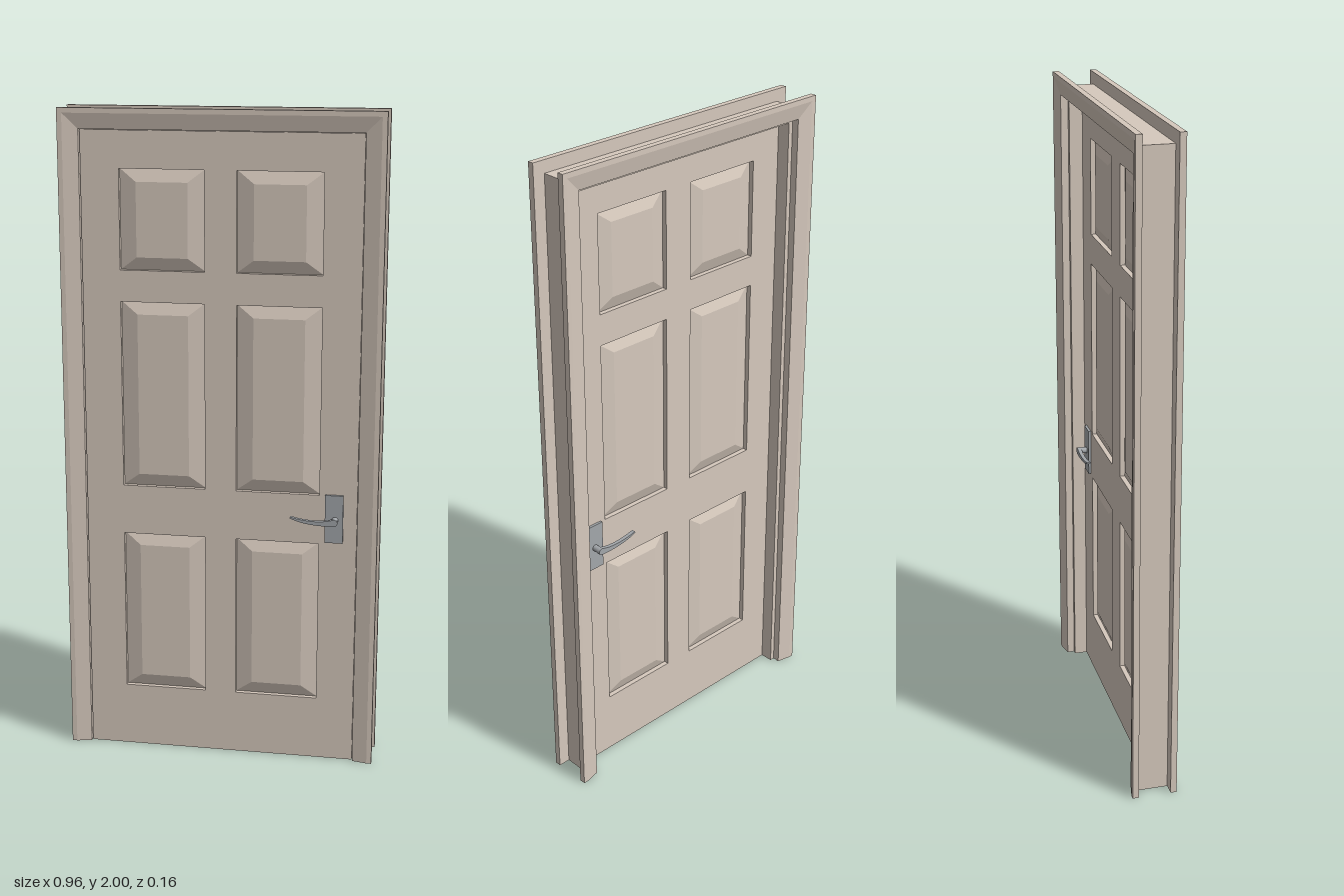
import * as THREE from 'three';

const W = 0.48, H = 2;                 // half width and height of the whole frame
const FRONT = 0.038, BACK = -0.006;    // faces of the door leaf

const paint = new THREE.MeshStandardMaterial({ color: 0xd6c9bd, flatShading: true });
const metal = new THREE.MeshStandardMaterial({ color: 0xa3a7ab });

function add(parent, name, geometry, material) {
  const mesh = new THREE.Mesh(geometry, material);
  mesh.name = name;
  parent.add(mesh);
  return mesh;
}

// Sweeps a counter-clockwise profile of [inset from outer edge, z]
// up one side, across the top with mitred corners, and down the other side.
function mitredFrame(profile) {
  const stations = [
    d => [d - W, 0], d => [d - W, H - d], d => [W - d, H - d], d => [W - d, 0],
  ];
  const n = profile.length, pos = [];
  const put = (s, j) => {
    const [d, z] = profile[j % n];
    pos.push(...stations[s](d), z);
  };
  for (let s = 0; s < 3; s++) {
    for (let j = 0; j < n; j++) {
      put(s, j); put(s + 1, j); put(s + 1, j + 1);
      put(s, j); put(s + 1, j + 1); put(s, j + 1);
    }
  }
  // feet of the two uprights
  const outline = profile.map(p => new THREE.Vector2(...p));
  for (const [a, b, c] of THREE.ShapeUtils.triangulateShape(outline, [])) {
    put(0, a); put(0, b); put(0, c);
    put(3, a); put(3, c); put(3, b);
  }
  const g = new THREE.BufferGeometry();
  g.setAttribute('position', new THREE.Float32BufferAttribute(pos, 3));
  g.computeVertexNormals();
  return g;
}

// Raised panel: a four-sided lathe whose rings are stretched to a rectangle
function raisedPanel(w, h) {
  const rim = 0.007, top = 0.020, bevelX = 0.05, bevelY = 0.038;
  const g = new THREE.LatheGeometry(
    [[0, -top], [0.5, -top], [1, -rim], [1, rim], [0.5, top], [0, top]]
      .map(p => new THREE.Vector2(...p)), 4, Math.PI / 4);
  g.rotateX(Math.PI / 2);
  const p = g.attributes.position;
  for (let i = 0; i < p.count; i++) {
    const r = Math.hypot(p.getX(i), p.getY(i));
    if (r < 0.01) continue;
    p.setX(i, Math.sign(p.getX(i)) * (w / 2 - (1 - r) * 2 * bevelX));
    p.setY(i, Math.sign(p.getY(i)) * (h / 2 - (1 - r) * 2 * bevelY));
  }
  g.computeVertexNormals();
  return g;
}

function createDoor() {
  const door = new THREE.Group();
  door.name = 'door';
  const x0 = 0.048, x1 = 0.302, edge = 0.417, top = 1.937;
  const rows = [[0.20, 0.708], [0.862, 1.433], [1.528, 1.826]];

  const leaf = new THREE.Shape([[-edge, 0], [edge, 0], [edge, top], [-edge, top]]
    .map(p => new THREE.Vector2(...p)));
  for (const [y0, y1] of rows) {
    for (const s of [-1, 1]) {
      leaf.holes.push(new THREE.Path([[x0, y0], [x0, y1], [x1, y1], [x1, y0]]
        .map(([x, y]) => new THREE.Vector2(s * x, y))));
      const panel = add(door, 'raisedPanel', raisedPanel(x1 - x0, y1 - y0), paint);
      panel.position.set(s * (x0 + x1) / 2, (y0 + y1) / 2, (FRONT + BACK) / 2);
    }
  }
  const g = new THREE.ExtrudeGeometry(leaf, { depth: FRONT - BACK, bevelEnabled: false });
  add(door, 'doorLeaf', g.translate(0, 0, BACK), paint);
  return door;
}

// Lever handle, built outward along +z from the door face
function createHandle(name) {
  const handle = new THREE.Group();
  handle.name = name;

  add(handle, 'handlePlate', new THREE.BoxGeometry(0.055, 0.15, 0.008), metal)
    .position.set(0.348, 0.79, 0.004);

  const stem = add(handle, 'handleStem',
    new THREE.CylinderGeometry(0.010, 0.010, 0.028, 20).rotateX(Math.PI / 2), metal);
  stem.position.set(0.351, 0.788, 0.018);

  // gently curved lever, thin at the tip and rounded at the stem
  const lever = new THREE.Shape();
  lever.moveTo(0.217, 0.797);
  lever.bezierCurveTo(0.25, 0.782, 0.29, 0.776, 0.351, 0.777);
  lever.absarc(0.351, 0.788, 0.011, -Math.PI / 2, Math.PI / 2, false);
  lever.bezierCurveTo(0.33, 0.792, 0.29, 0.783, 0.219, 0.801);
  const g = new THREE.ExtrudeGeometry(lever, { depth: 0.012, bevelEnabled: false, curveSegments: 12 });
  add(handle, 'lever', g.translate(0, 0, 0.027), metal);
  return handle;
}

export function createModel() {
  const model = new THREE.Group();
  model.name = 'panelDoor';

  // Jamb lining with the stop the door closes against
  add(model, 'jamb', mitredFrame([
    [0.037, -0.061], [0.06, -0.061], [0.06, -0.047], [0.075, -0.047],
    [0.075, BACK], [0.06, BACK], [0.06, FRONT], [0.037, FRONT],
  ]), paint);

  // Sloping trim on both faces of the wall
  const trim = [[0, 0], [0.061, 0], [0.061, 0.009], [0.015, 0.019], [0, 0.019]];
  add(model, 'frontTrim', mitredFrame(trim.map(([d, h]) => [d, FRONT + h])), paint);
  add(model, 'backTrim', mitredFrame(trim.map(([d, h]) => [d, -0.061 - h]).reverse()), paint);

  model.add(createDoor());

  // Handles on both faces
  const front = createHandle('frontHandle');
  front.position.z = FRONT;
  const back = createHandle('backHandle');
  back.position.z = BACK;
  back.scale.z = -1;
  model.add(front, back);
  return model;
}
